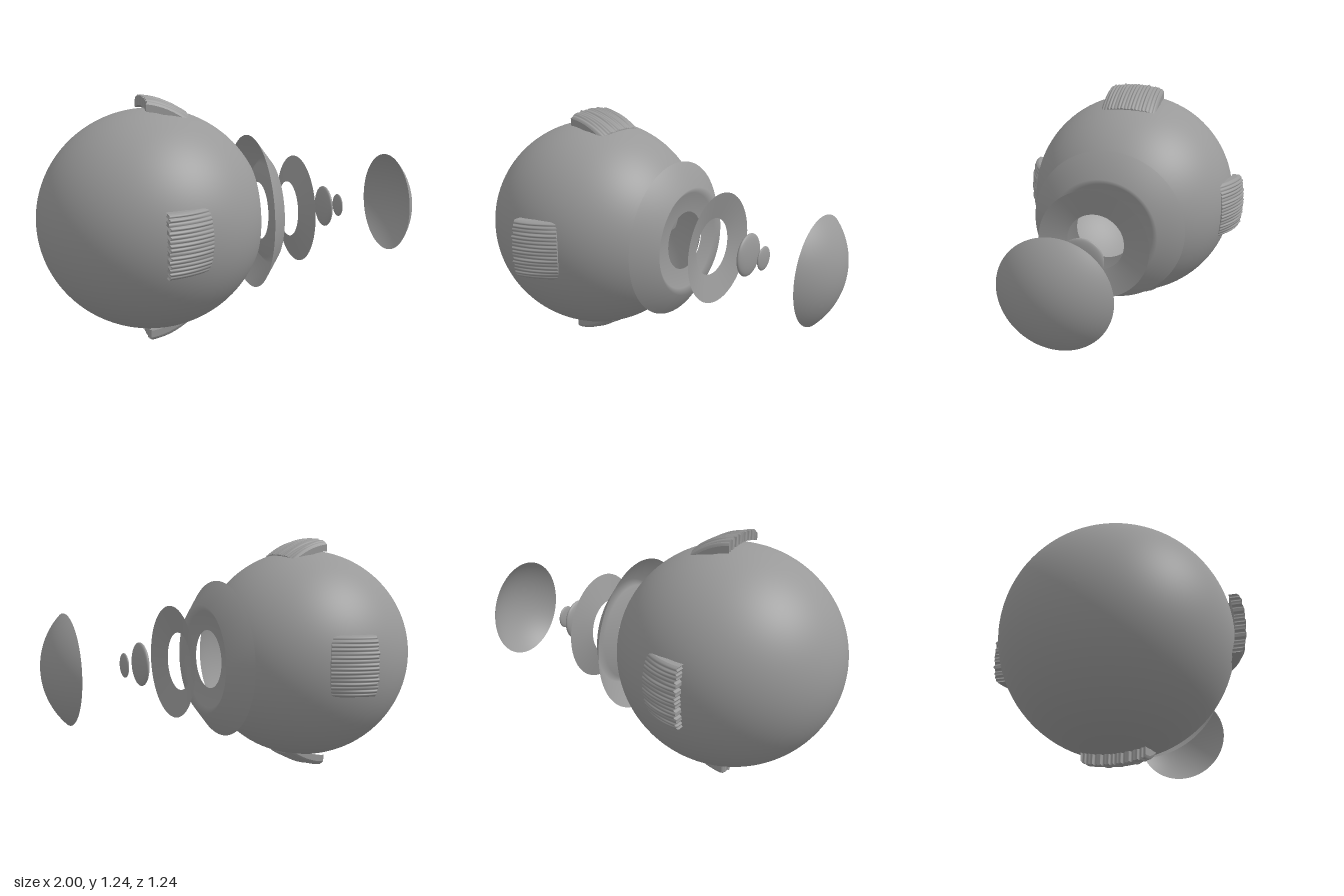
import * as THREE from 'three';

const material = new THREE.MeshStandardMaterial({ color: 0x999999, side: THREE.DoubleSide });

function addMesh(parent, name, geometry) {
  const mesh = new THREE.Mesh(geometry, material);
  mesh.name = name;
  parent.add(mesh);
  return mesh;
}

// Surface of revolution around the x axis from [x, radius] pairs
function revolve(profile) {
  const points = profile.map(([x, r]) => new THREE.Vector2(r, x));
  return new THREE.LatheGeometry(points, 96).rotateZ(-Math.PI / 2);
}

// Ellipse arc around x = cx, between the cosines c0 and c1
function arc(cx, rx, ry, c0, c1, steps) {
  const a0 = Math.acos(c0), a1 = Math.acos(c1);
  return Array.from({ length: steps + 1 }, (_, i) => {
    const a = a0 + (a1 - a0) * i / steps;
    return [cx + rx * Math.cos(a), Math.max(0, ry * Math.sin(a))];
  });
}

// Curved muscle strap lying on top of the globe, fibres running along x
function strapGeometry() {
  const fibres = 16, half = 0.15;
  const geometry = new THREE.BoxGeometry(1, 1, 1, 16, 1, fibres * 8);
  const pos = geometry.attributes.position;
  for (let i = 0; i < pos.count; i++) {
    const t = pos.getX(i) + 0.5;
    const v = pos.getZ(i) * 2;
    const outer = pos.getY(i) > 0;
    const phase = (v + 1) / 2 * fibres;
    const fibre = Math.min(fibres - 1, Math.floor(phase));
    const ridge = Math.abs(Math.sin(phase * Math.PI));
    // slightly ragged back end, rounded front end
    const x0 = -0.475 + 0.006 * (1 + Math.sin(fibre * 2.7)) * ridge;
    const x1 = -0.25 - 0.018 * v * v;
    const z = v * half;
    let r = 0.614 - 0.02 * t - 0.065 * t * t;
    if (outer) r += (0.005 + 0.002 * Math.sin(fibre * 1.9 + t * 3)) * ridge - 0.01 * Math.pow(Math.abs(v), 12);
    else r -= 0.045 - 0.01 * t;
    pos.setXYZ(i, x0 + (x1 - x0) * t, Math.sqrt(r * r - z * z), z);
  }
  geometry.computeVertexNormals();
  return geometry;
}

export function createModel() {
  const model = new THREE.Group();
  model.name = 'explodedEye';
  const axis = new THREE.Group();
  axis.name = 'opticalAxis';
  axis.position.y = 0.622;
  model.add(axis);

  // Hollow globe, open at the front
  addMesh(axis, 'globe', revolve(arc(-0.43, 0.57, 0.555, -1, 0.86, 64)));

  // Four muscle straps around the globe
  const strap = strapGeometry();
  ['topMuscle', 'leftMuscle', 'bottomMuscle', 'rightMuscle'].forEach((name, i) => {
    addMesh(axis, name, strap).rotation.x = i * Math.PI / 2;
  });

  // Crested ring and dished iris
  addMesh(axis, 'ciliaryRing', revolve([[0.09, 0.4], [0.185, 0.28], [0.16, 0.25], [0.145, 0.15]]));
  addMesh(axis, 'iris', revolve([[0.31, 0.145], [0.35, 0.281]]));

  // Lens and its small core
  [['lens', 0.517, 0.023, 0.108], ['lensCore', 0.6, 0.012, 0.06]].forEach(([name, x, rx, ry]) => {
    addMesh(axis, name, revolve(arc(x, rx, ry, -1, 1, 32)));
  });

  // Thin domed cornea
  const R = 0.374;
  addMesh(axis, 'cornea', revolve(arc(1 - R, R, R, (R - 0.11) / R, 1, 24)));

  return model;
}
